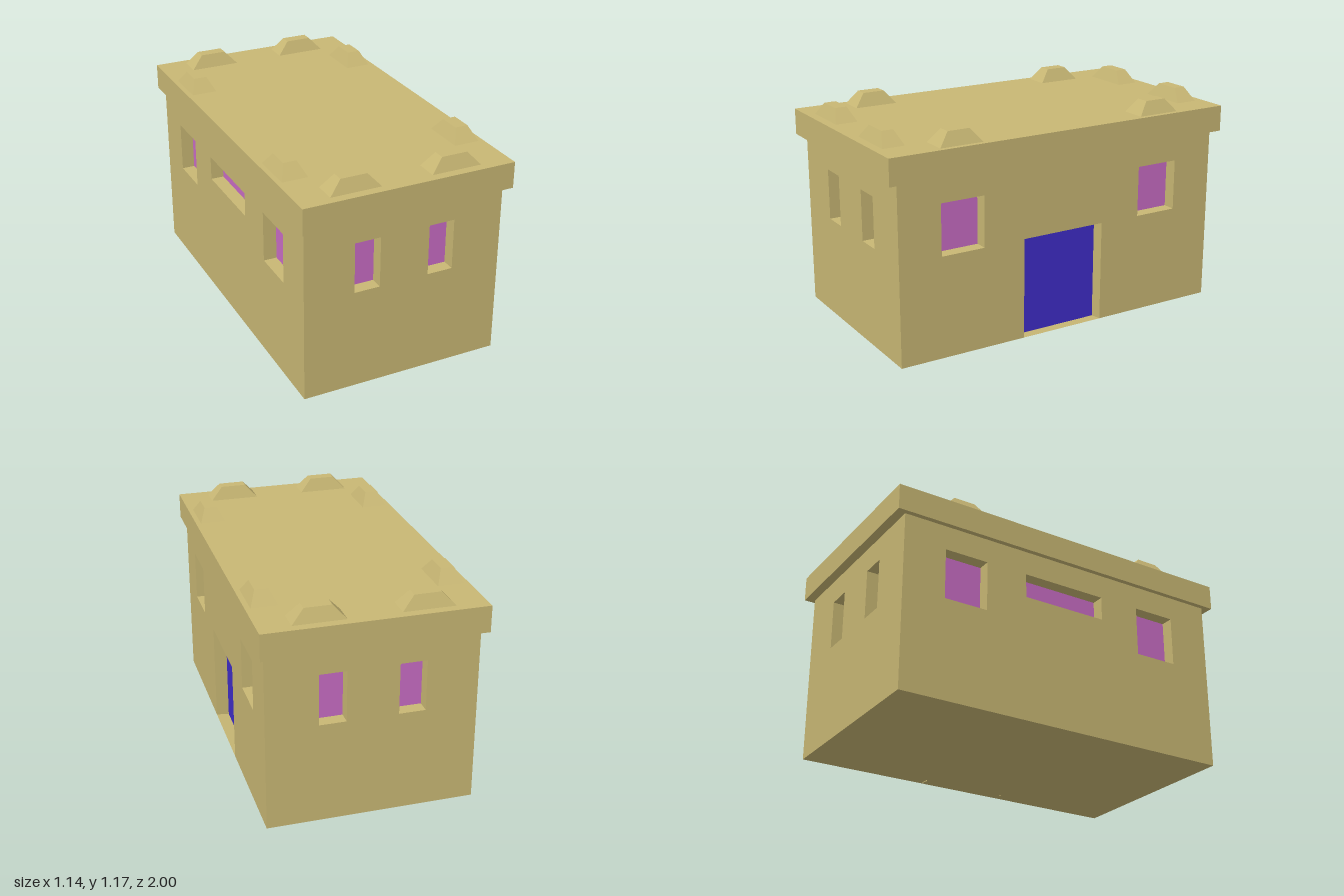
import * as THREE from 'three';

const HALF_X = 0.543, HALF_Z = 0.95;   // wall faces
const BASE = 0.01, EAVE = 0.96, ROOF = 1.10, TOP = 1.17;
const RECESS = 0.07;

const material = (color, side = THREE.FrontSide) =>
  new THREE.MeshStandardMaterial({ color, side, flatShading: true });
const stone = material(0xc8b774);
const stoneThin = material(0xc8b774, THREE.DoubleSide);
const glass = material(0xc86cc4);
const doorPaint = material(0x3f2cc8);

function add(parent, name, geometry, mat, x = 0, y = 0, z = 0) {
  const mesh = new THREE.Mesh(geometry, mat);
  mesh.name = name;
  mesh.position.set(x, y, z);
  parent.add(mesh);
  return mesh;
}

// Four sides of a recess behind a rectangular opening; the inner sill may drop lower
function revealGeometry({ x0, x1, y0, y1, innerY0 = y0 }) {
  const outer = [[x0, y0], [x1, y0], [x1, y1], [x0, y1]];
  const inner = [[x0, innerY0], [x1, innerY0], [x1, y1], [x0, y1]];
  const pos = [];
  for (let i = 0; i < 4; i++) {
    const j = (i + 1) % 4;
    const a = [...outer[i], 0], b = [...outer[j], 0];
    const c = [...inner[j], -RECESS], d = [...inner[i], -RECESS];
    pos.push(...a, ...b, ...c, ...a, ...c, ...d);
  }
  const geometry = new THREE.BufferGeometry();
  geometry.setAttribute('position', new THREE.Float32BufferAttribute(pos, 3));
  geometry.computeVertexNormals();
  return geometry;
}

// One wall facing local +z, with recessed windows and an optional doorway
function buildWall(name, halfWidth, distance, angle, windows, door) {
  const wall = new THREE.Group();
  wall.name = name;
  wall.rotation.y = angle;

  const outline = [[-halfWidth, BASE]];
  if (door) {
    outline.push([door.x0, BASE], [door.x0, door.y1], [door.x1, door.y1], [door.x1, BASE]);
  }
  outline.push([halfWidth, BASE], [halfWidth, EAVE], [-halfWidth, EAVE]);
  const shape = new THREE.Shape(outline.map(p => new THREE.Vector2(...p)));
  for (const { x0, x1, y0, y1 } of windows) {
    shape.holes.push(new THREE.Path([[x0, y0], [x0, y1], [x1, y1], [x1, y0]]
      .map(p => new THREE.Vector2(...p))));
  }
  add(wall, name + 'Face', new THREE.ShapeGeometry(shape), stone, 0, 0, distance);

  const fill = (opening, label, mat) => {
    const { x0, x1, y1 } = opening;
    const y0 = opening.innerY0 ?? opening.y0;
    add(wall, label + 'Reveal', revealGeometry(opening), stoneThin, 0, 0, distance);
    add(wall, label, new THREE.PlaneGeometry(x1 - x0, y1 - y0), mat,
      (x0 + x1) / 2, (y0 + y1) / 2, distance - RECESS);
  };
  windows.forEach(w => fill(w, 'window', glass));
  if (door) fill(door, 'door', doorPaint);
  return wall;
}

// Mirrored pair of equal windows
const windowPair = (a, b, y0, y1) =>
  [{ x0: -b, x1: -a, y0, y1 }, { x0: a, x1: b, y0, y1 }];

// Block with sloping sides: a box whose upper corners are drawn in
function merlonGeometry(w, d, topW, topD) {
  const h = TOP - ROOF;
  const geometry = new THREE.BoxGeometry(w, h, d);
  const p = geometry.attributes.position;
  for (let i = 0; i < p.count; i++) {
    if (p.getY(i) > 0) {
      p.setX(i, Math.sign(p.getX(i)) * topW / 2);
      p.setZ(i, Math.sign(p.getZ(i)) * topD / 2);
    }
  }
  geometry.computeVertexNormals();
  return geometry;
}

export function createModel() {
  const model = new THREE.Group();
  model.name = 'house';

  // Walls
  const endWindows = windowPair(0.134, 0.273, 0.553, 0.827);
  const sideWindows = windowPair(0.474, 0.716, 0.553, 0.827);
  const wideWindow = { x0: -0.24, x1: 0.24, y0: 0.695, y1: 0.827 };
  const door = { x0: -0.24, x1: 0.24, y0: BASE, y1: 0.555, innerY0: 0.002 };
  model.add(
    buildWall('frontWall', HALF_X, HALF_Z, 0, endWindows),
    buildWall('backWall', HALF_X, HALF_Z, Math.PI, endWindows),
    buildWall('rightWall', HALF_Z, HALF_X, Math.PI / 2, sideWindows, door),
    buildWall('leftWall', HALF_Z, HALF_X, -Math.PI / 2, [...sideWindows, wideWindow]),
  );

  // Underside and roof slab
  add(model, 'floor', new THREE.PlaneGeometry(HALF_X * 2, HALF_Z * 2), stone, 0, BASE, 0)
    .rotation.x = Math.PI / 2;
  add(model, 'roofSlab', new THREE.BoxGeometry(1.14, ROOF - EAVE, 2), stone,
    0, (ROOF + EAVE) / 2, 0);

  // Merlons, two along each roof edge
  const endMerlon = merlonGeometry(0.27, 0.12, 0.14, 0.063);
  const sideMerlon = merlonGeometry(0.137, 0.237, 0.07, 0.12);
  const y = (ROOF + TOP) / 2;
  for (const sx of [-1, 1]) {
    for (const sz of [-1, 1]) {
      add(model, 'endMerlon', endMerlon, stone, sx * 0.271, y, sz * 0.892);
      add(model, 'sideMerlon', sideMerlon, stone, sx * 0.474, y, sz * 0.595);
    }
  }
  return model;
}
